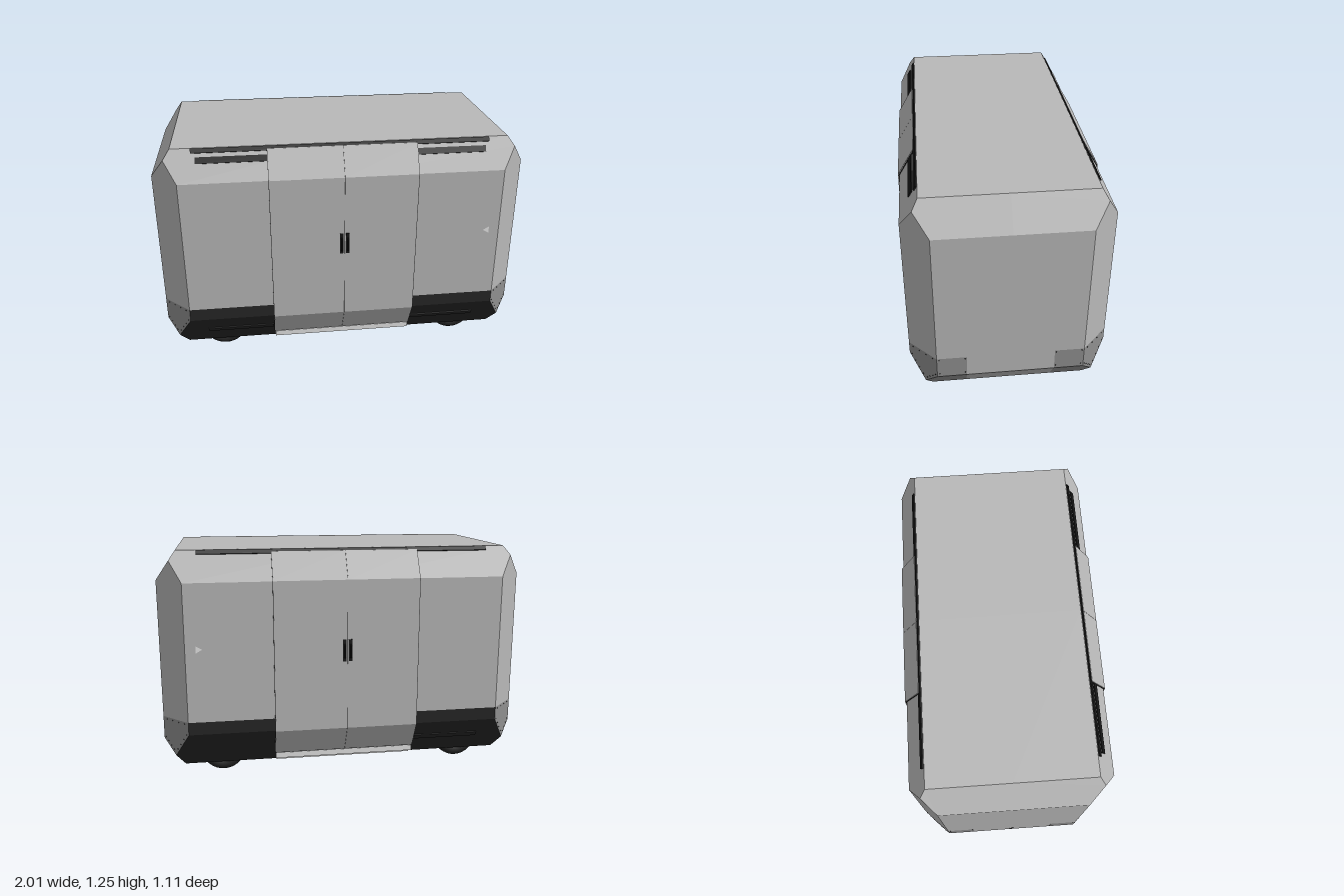
import * as THREE from 'three';

const mat = (name, color, side = THREE.FrontSide) => new THREE.MeshStandardMaterial({ name, color, side });

export function createModel() {
  const grey = mat('body grey', 0xb8b8b8);
  const guardGrey = mat('guard grey', 0x8f8f8f);
  const dark = mat('skirt charcoal', 0x262626, THREE.DoubleSide);
  const black = mat('trim black', 0x171717);
  const rubber = mat('tyre rubber', 0x242424);
  const gold = mat('rim gold', 0xf0c428);
  const wood = mat('floor wood', 0xd8b68a);
  const metal = mat('rail metal', 0xe4e4e4);
  const white = mat('marker white', 0xffffff);

  const root = new THREE.Group();
  root.name = 'cabinTrailer';
  const add = (name, geo, material, parent = root) => {
    const m = new THREE.Mesh(geo, material);
    m.name = name;
    parent.add(m);
    return m;
  };
  const box = (name, w, h, d, x, y, z, material, parent = root) => {
    const m = add(name, new THREE.BoxGeometry(w, h, d), material, parent);
    m.position.set(x, y, z);
    return m;
  };

  // Flat panels given for the +x +z quarter, mirrored to all four quarters
  const panels = (name, material, polys) => {
    const pos = [];
    for (const sx of [1, -1]) for (const sz of [1, -1]) for (const p of polys) {
      const q = p.map(([x, y, z]) => [x * sx, y, z * sz]);
      if (sx * sz < 0) q.reverse();
      for (let i = 1; i < q.length - 1; i++) pos.push(...q[0], ...q[i], ...q[i + 1]);
    }
    const g = new THREE.BufferGeometry();
    g.setAttribute('position', new THREE.Float32BufferAttribute(pos, 3));
    g.computeVertexNormals();
    return add(name, g, material);
  };

  // Shared corner points of the chamfered shell
  const roofC = [0.89, 1.25, 0.43], topApex = [0.925, 1.2, 0.46];
  const topF = [0.86, 1.09, 0.525], topE = [1, 1.09, 0.385];
  const bandF = [0.86, 0.34, 0.525], bandE = [1, 0.34, 0.385];
  const lowF = [0.86, 0.27, 0.525], lowE = [1, 0.215, 0.385];
  const lowApex = [0.937, 0.13, 0.448], baseC = [0.89, 0.063, 0.41];

  panels('roof', grey, [
    [[0, 1.25, 0], [0, 1.25, 0.43], roofC, [0.89, 1.25, 0]],
    [[0, 1.09, 0.525], topF, topApex, roofC, [0, 1.25, 0.43]],
    [topE, [1, 1.09, 0], [0.89, 1.25, 0], roofC, topApex],
  ]);
  panels('walls', grey, [
    [[0, 0.34, 0.525], bandF, topF, [0, 1.09, 0.525]],
    [bandF, bandE, topE, topApex, topF],
    [bandE, [1, 0.34, 0], [1, 1.09, 0], topE],
    [[0, 0.27, 0.525], [0.39, 0.27, 0.525], [0.39, 0.34, 0.525], [0, 0.34, 0.525]],
    [[0, 0.063, 0.41], [0.39, 0.063, 0.41], [0.39, 0.27, 0.525], [0, 0.27, 0.525]],
    [[1, 0.215, 0.23], [1, 0.215, 0], [1, 0.34, 0], [1, 0.34, 0.23]],
    [[0.89, 0.063, 0.23], [0.89, 0.063, 0], [1, 0.215, 0], [1, 0.215, 0.23]],
  ]);
  panels('sideSkirts', dark, [
    [[0.39, 0.27, 0.525], lowF, bandF, [0.39, 0.34, 0.525]],
    [[0.39, 0.063, 0.41], baseC, lowApex, lowF, [0.39, 0.27, 0.525]],
  ]);
  panels('cornerGuards', guardGrey, [
    [lowApex, lowE, bandE, bandF, lowF],
    [lowE, [1, 0.215, 0.23], [1, 0.34, 0.23], bandE],
    [baseC, [0.89, 0.063, 0.23], [1, 0.215, 0.23], lowE, lowApex],
  ]);
  // Hollow wheel bays, open at the bottom
  panels('wheelBays', dark, [
    [[0.39, 0.3, 0], [0.89, 0.3, 0], [0.89, 0.3, 0.41], [0.39, 0.3, 0.41]],
    [[0.39, 0.063, 0.41], [0.39, 0.3, 0.41], [0.89, 0.3, 0.41], baseC],
    [[0.89, 0.063, 0], baseC, [0.89, 0.3, 0.41], [0.89, 0.3, 0]],
    [[0.39, 0.1, 0], [0.39, 0.3, 0], [0.39, 0.3, 0.41], [0.39, 0.1, 0.41]],
  ]);
  for (const x of [1, -1]) box('endLip', 0.01, 0.045, 0.8, x * 0.884, 0.087, 0, guardGrey);

  // Wooden floor boards on a dark underframe, recessed between the sills
  box('underframe', 0.778, 0.014, 0.86, 0, 0.115, 0, dark);
  for (const i of [-1, 0, 1]) box('floorBoard', 0.26, 0.024, 0.765, i * 0.2615, 0.096, 0, wood);

  // Thin bent slab following the side wall, set out by a given distance
  const bentSlab = (out, width) => {
    const section = new THREE.Shape([
      [0.442 + out, 0.115], [0.525 + out, 0.268], [0.525 + out, 1.092], [0.4385 + out, 1.238],
      [0.43, 1.238], [0.515, 1.09], [0.515, 0.27], [0.43, 0.115],
    ].map(([z, y]) => new THREE.Vector2(z, y)));
    const g = new THREE.ExtrudeGeometry(section, { depth: width, bevelEnabled: false });
    return g.translate(0, 0, -width / 2).rotateY(-Math.PI / 2);
  };
  const leaf = bentSlab(0.009, 0.3935);
  const seal = bentSlab(0.005, 0.7925);

  // Thin strip lying on a sloped face; normal tilts up by phi
  const strip = (name, w, h, d, x, y, z, phi, material, parent) => {
    box(name, w, h, d, x, y, z, material, parent).rotation.x = -phi;
  };

  // Pull handle, bent out from the door
  const handlePath = new THREE.CurvePath();
  const hp = [[0.53, 0.668], [0.553, 0.674], [0.553, 0.738], [0.53, 0.744]].map(([z, y]) => new THREE.Vector3(0, y, z));
  for (let i = 0; i < 3; i++) handlePath.add(new THREE.LineCurve3(hp[i], hp[i + 1]));
  const handleGeo = new THREE.TubeGeometry(handlePath, 24, 0.004, 6);

  const upTilt = Math.atan2(0.095, 0.16), downTilt = -Math.atan2(0.115, 0.207);
  for (const s of [1, -1]) {
    const side = new THREE.Group();
    side.name = s > 0 ? 'frontSide' : 'backSide';
    if (s < 0) side.rotation.y = Math.PI;
    root.add(side);
    add('doorSeal', seal, black, side);
    for (const x of [1, -1]) {
      add('doorLeaf', leaf, grey, side).position.x = x * 0.1975;
      box('handlePlate', 0.018, 0.12, 0.005, x * 0.0165, 0.71, 0.5355, black, side);
      add('handle', handleGeo, black, side).position.x = x * 0.0165;
      if (s > 0) strip('roofVent', 0.37, 0.034, 0.009, x * 0.578, 1.194, 0.465, upTilt, black, side);
      if (s > 0 || x > 0) strip('skirtStep', 0.37, 0.03, 0.012, x * 0.583, 0.172, 0.471, downTilt, dark, side);
    }
    strip('roofRail', 1.57, 0.024, 0.009, 0, 1.238, 0.4405, upTilt, black, side);
    // Stepped sill rail below the doors
    box('sillSeal', 0.78, 0.008, 0.05, 0, 0.115, 0.422, black, side);
    box('sillUpper', 0.78, 0.031, 0.05, 0, 0.0955, 0.425, metal, side);
    box('sillLower', 0.77, 0.044, 0.028, 0, 0.08, 0.397, metal, side);
    // Small triangular marker, at +x on both sides
    const tri = new THREE.CircleGeometry(0.022, 3).rotateZ(s > 0 ? Math.PI : 0);
    add('marker', tri, white, side).position.set(s * 0.793, 0.74, 0.5275);
  }

  // Wheels: rounded tyre turned about z, with a deep stepped rim on the inner side
  const turn = (pts) => new THREE.LatheGeometry(pts.map(([r, w]) => new THREE.Vector2(r, w)), 32).rotateX(Math.PI / 2);
  const tyre = turn([[0.07, -0.07], [0.085, -0.082], [0.105, -0.08], [0.12, -0.062], [0.125, -0.035],
    [0.125, 0.035], [0.12, 0.062], [0.105, 0.08], [0.085, 0.082], [0.064, 0.07]]);
  const drum = (r, z0, z1) => new THREE.CylinderGeometry(r, r, z1 - z0, 32).rotateX(Math.PI / 2).translate(0, 0, (z0 + z1) / 2);
  const rimParts = [
    ['rim', drum(0.084, -0.088, 0), gold], ['rimStep', drum(0.066, -0.102, 0), gold],
    ['hub', drum(0.038, -0.112, 0), gold], ['outerRim', drum(0.066, 0, 0.074), gold],
    ['hubCap', drum(0.012, -0.115, 0.08), black],
  ];
  const bolt = drum(0.004, -0.105, -0.09);
  for (const x of [0.68, -0.68]) for (const s of [1, -1]) {
    const wheel = new THREE.Group();
    wheel.name = 'wheel';
    wheel.position.set(x, 0.125, s * 0.312);
    if (s < 0) wheel.rotation.y = Math.PI;
    root.add(wheel);
    add('tyre', tyre, rubber, wheel);
    for (const [name, geo, material] of rimParts) add(name, geo, material, wheel);
    for (let i = 0; i < 5; i++) {
      const a = i * Math.PI * 0.4;
      add('wheelBolt', bolt, black, wheel).position.set(0.052 * Math.cos(a), 0.052 * Math.sin(a), 0);
    }
  }

  // Rivets on the corner guards: end plate corners and along the chamfer edges
  const rivet = new THREE.SphereGeometry(0.003, 8, 6);
  const spots = [[1, 0.235, 0.238], [1, 0.235, 0.372], [1, 0.33, 0.238], [1, 0.33, 0.372]];
  for (const [a, b] of [[bandF, bandE], [lowF, lowApex], [lowE, lowApex]])
    for (const t of [0.15, 0.38, 0.62, 0.85])
      spots.push(a.map((v, i) => v + (b[i] - v) * t + (i === 1 ? (a === bandF ? -0.012 : 0.02) : 0)));
  for (const sx of [1, -1]) for (const sz of [1, -1]) for (const [x, y, z] of spots)
    add('rivet', rivet, black).position.set(x * sx, y, z * sz);

  // Socket on one end panel
  const socket = new THREE.CylinderGeometry(0.014, 0.014, 0.008, 16).rotateZ(Math.PI / 2);
  add('socket', socket, black).position.set(-0.998, 0.262, 0);

  return root;
}
